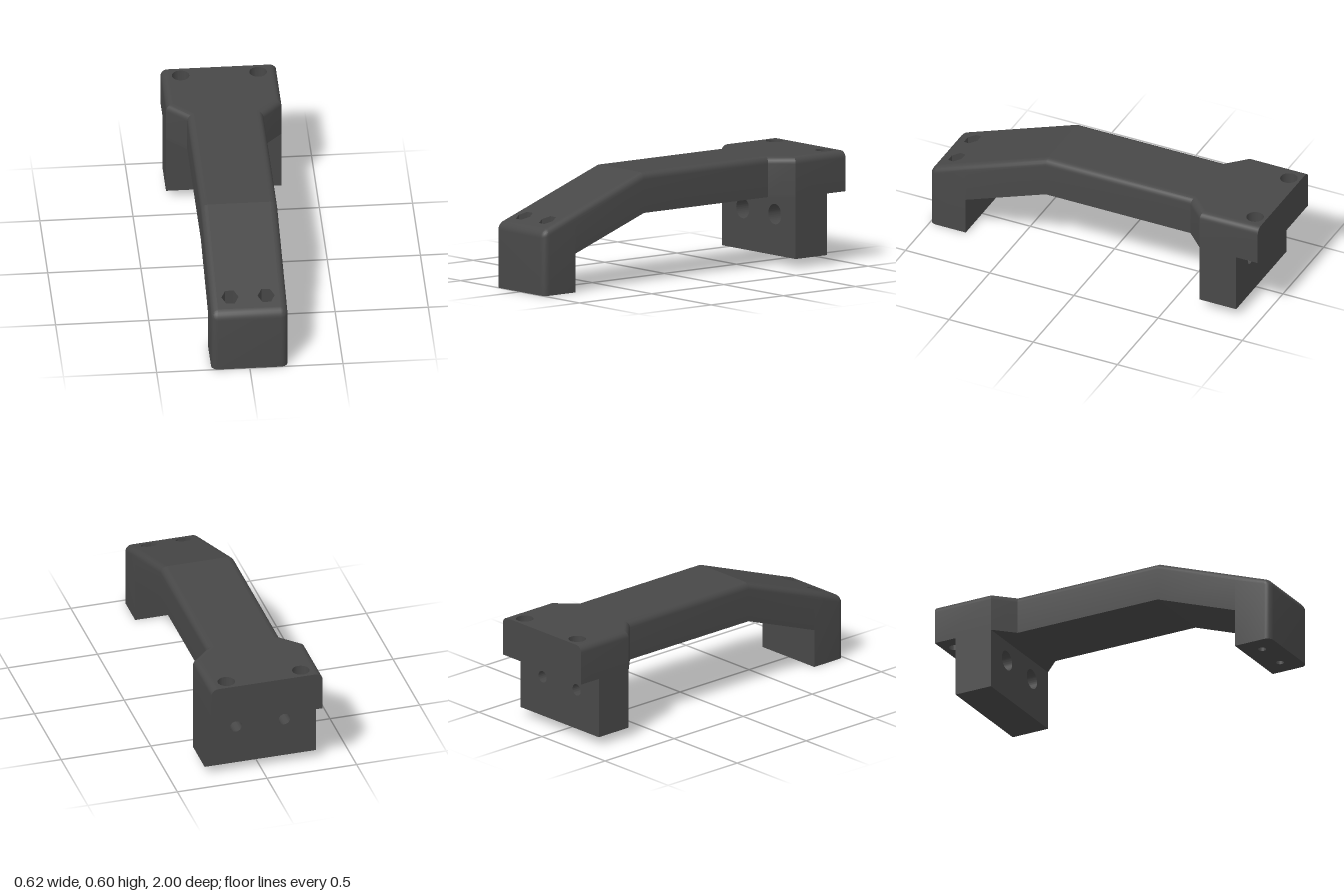
import * as THREE from 'three';
import { toCreasedNormals } from 'three/addons/utils/BufferGeometryUtils.js';

const ARM = 0.205, HEAD = 0.31, R = 0.037, STEPS = 6;
const KINK = 0.31, FOOT = 0.785, UNDER = 0.383, TOP = 0.6;
const SLOPE = Math.tan(THREE.MathUtils.degToRad(20));
const topY = z => TOP - Math.max(0, z - KINK) * SLOPE;
const underY = z => UNDER - Math.max(0, z - KINK) * SLOPE;

// Half of the plan outline (x, z, underside y), inset by d, from back to front
function halfOutline(d) {
  const k = d * Math.tan(Math.PI / 8);
  const pts = [[HEAD - d, -1, UNDER], [HEAD - d, -0.655 - k, UNDER], [ARM - d, -0.55 - k, UNDER],
    [ARM - d, KINK, UNDER], [ARM - d, FOOT, underY(FOOT)], [ARM - d, FOOT, 0]];
  for (let i = 0; i <= STEPS; i++) {
    const a = i / STEPS * Math.PI / 2;
    pts.push([ARM - R + (R - d) * Math.cos(a), 1 - R + (R - d) * Math.sin(a), 0]);
  }
  return pts;
}
const mirrored = pts => [...pts, ...pts.slice().reverse().map(([x, ...rest]) => [-x, ...rest])];

function buildGeometry(positions, index) {
  const g = new THREE.BufferGeometry();
  g.setAttribute('position', new THREE.Float32BufferAttribute(positions, 3));
  g.setIndex(index);
  return toCreasedNormals(g, 0.32);
}

// Side walls with the rounded upper edge
function wallGeometry() {
  const rows = [mirrored(halfOutline(0)).map(([x, z, y]) => [x, y, z])];
  for (let i = 0; i <= STEPS; i++) {
    const a = i / STEPS * Math.PI / 2;
    const d = R * (1 - Math.cos(a)), drop = R * (1 - Math.sin(a));
    rows.push(mirrored(halfOutline(d)).map(([x, z]) => [x, topY(z) - drop, z]));
  }
  const n = rows[0].length, index = [];
  for (let r = 0; r < rows.length - 1; r++) {
    for (let i = 0; i < n - 1; i++) {
      const a = r * n + i, b = a + 1, c = a + n, e = c + 1;
      index.push(a, c, b, b, c, e);
    }
  }
  return buildGeometry(rows.flat(2), index);
}

// Flat face from a 2D contour with holes; place maps (u, v) into space
function faceGeometry(contour, holes, place, flip) {
  const toVec = list => list.map(p => new THREE.Vector2(p[0], p[1]));
  const c = toVec(contour), h = holes.map(toVec), all = [c, ...h].flat();
  const index = [];
  for (const [i, j, k] of THREE.ShapeUtils.triangulateShape(c, h)) {
    const ccw = THREE.ShapeUtils.area([all[i], all[j], all[k]]) > 0;
    index.push(...(ccw !== flip ? [i, j, k] : [i, k, j]));
  }
  return buildGeometry(all.flatMap(p => place(p.x, p.y)), index);
}

const ring = (x, z, r, n) => Array.from({ length: n }, (_, i) => {
  const a = i / n * Math.PI * 2;
  return [x + r * Math.cos(a), z + r * Math.sin(a)];
});
const strip = (w, z0, z1) => [[w, z0], [w, z1], [-w, z1], [-w, z0]];

export function createModel() {
  const group = new THREE.Group();
  const material = new THREE.MeshStandardMaterial({ color: 0x484848 });
  const inner = new THREE.MeshStandardMaterial({ color: 0x484848, side: THREE.DoubleSide });
  const add = (name, geometry, mat = material) => {
    const mesh = new THREE.Mesh(geometry, mat);
    mesh.name = name;
    group.add(mesh);
    return mesh;
  };

  const headX = 0.208, headZ = -0.935, footX = 0.097, footZ = 0.89;
  const pair = (x, z, r, n) => [ring(x, z, r, n), ring(-x, z, r, n)];
  const onTop = (x, z) => [x, topY(z), z];
  const onUnder = (x, z) => [x, underY(z), z];

  // Arm, head and foot shell
  add('sideWalls', wallGeometry());
  const inset = halfOutline(R);
  add('topFlat', faceGeometry(mirrored(inset.slice(0, 4)), pair(headX, headZ, 0.047, 32), onTop, true));
  add('topSlope', faceGeometry(strip(ARM - R, KINK, 1 - R), pair(footX, footZ, 0.046, 6), onTop, true));
  add('undersideFlat', faceGeometry(mirrored(halfOutline(0).slice(0, 4)),
    pair(headX, headZ, 0.032, 32), onUnder, false));
  add('undersideSlope', faceGeometry(strip(ARM, KINK, FOOT), [], onUnder, false));
  add('footBase', faceGeometry(mirrored(halfOutline(0).slice(5)),
    pair(footX, footZ, 0.022, 24), (x, z) => [x, 0, z], false));
  add('footBack', faceGeometry(strip(ARM, 0, underY(FOOT)), [], (x, y) => [x, y, FOOT], true));

  // Back of the head, following the rounded edge
  const back = [[HEAD, UNDER]];
  for (let i = 0; i <= STEPS; i++) {
    const a = i / STEPS * Math.PI / 2;
    back.push([HEAD - R + R * Math.cos(a), TOP - R + R * Math.sin(a)]);
  }
  add('headBack', faceGeometry(mirrored(back), [], (x, y) => [x, y, -1], true));

  // Screw holes: round counterbores in the head, hexagonal nut pockets in the foot
  const lathe = (pts, n) => new THREE.LatheGeometry(
    pts.map(p => new THREE.Vector2(...p)), n, Math.PI / 2);
  for (const s of [1, -1]) {
    const headHole = lathe([[0.032, UNDER], [0.032, 0.5], [0.047, 0.5], [0.047, TOP]], 32);
    add('headScrewHole', toCreasedNormals(headHole, 0.32), inner).position.set(s * headX, 0, headZ);

    const footHole = lathe([[0.022, 0], [0.022, 0.29]], 24);
    add('footScrewHole', footHole, inner).position.set(s * footX, 0, footZ);

    const pocket = lathe([[0.025, 0.29], [0.046, 0.29], [0.046, 0.4]], 6);
    const p = pocket.attributes.position;
    for (let i = 0; i < p.count; i++) {
      if (p.getY(i) > 0.3) p.setY(i, topY(footZ + p.getZ(i)));
    }
    add('nutPocket', toCreasedNormals(pocket, 0.32), inner).position.set(s * footX, 0, footZ);
  }

  // Rear mounting block: two layers, the front one with wider counterbores
  const blockLayer = (z0, z1, r) => {
    const shape = new THREE.Shape(strip(HEAD, 0.05, UNDER).map(p => new THREE.Vector2(...p)));
    for (const x of [0.135, -0.135]) {
      shape.holes.push(new THREE.Path().absarc(x, 0.272, r, 0, Math.PI * 2, true));
    }
    const g = new THREE.ExtrudeGeometry(shape, { depth: z1 - z0, bevelEnabled: false, curveSegments: 32 });
    return toCreasedNormals(g.translate(0, 0, z0), 0.32);
  };
  add('mountBlockBack', blockLayer(-0.872, -0.74, 0.032));
  add('mountBlockFront', blockLayer(-0.74, -0.655, 0.055));

  return group;
}
